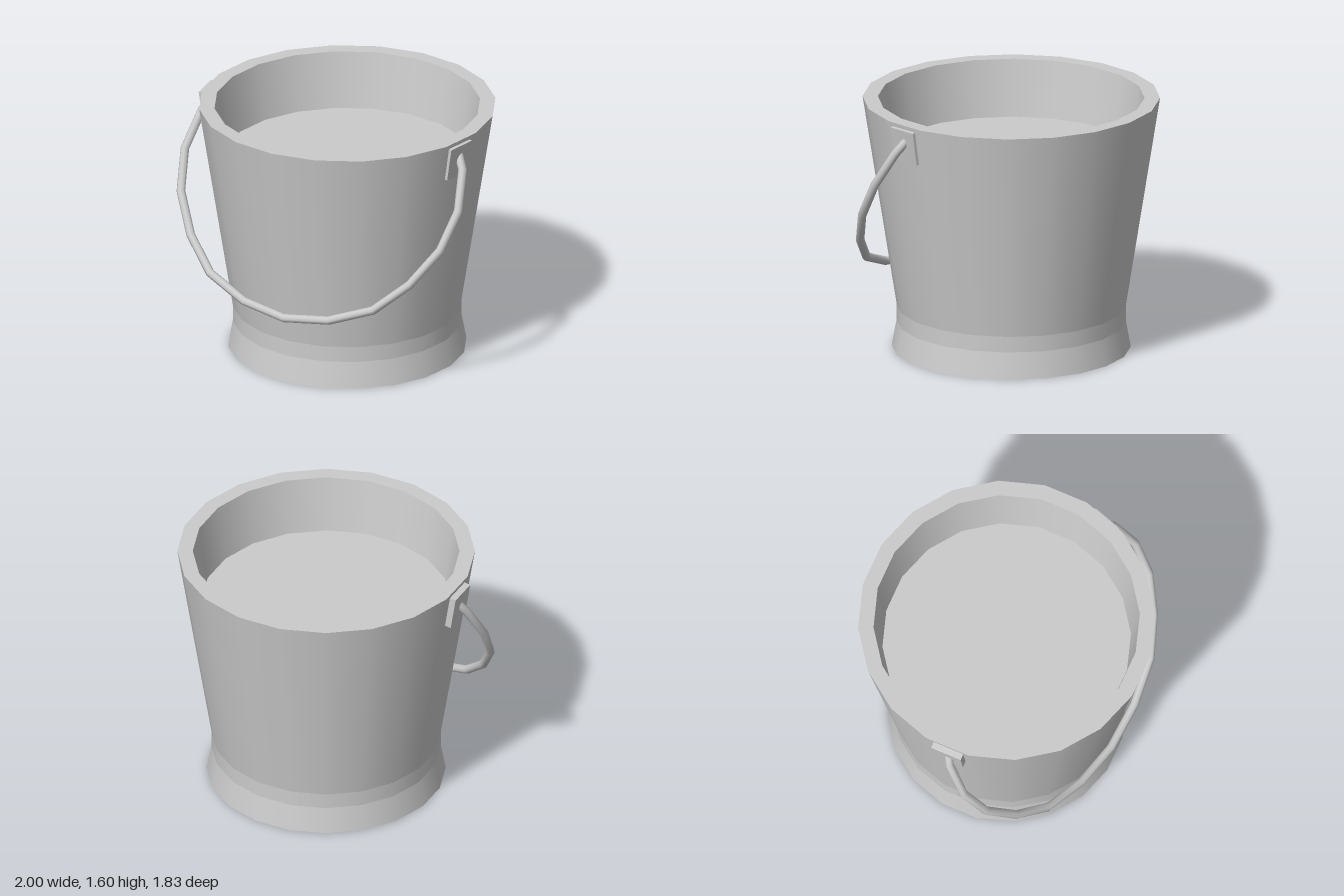
import * as THREE from 'three';

const SIDES = 20;
const material = new THREE.MeshStandardMaterial({ color: 0xcccccc });

function addMesh(parent, name, geometry) {
  const mesh = new THREE.Mesh(geometry, material);
  mesh.name = name;
  parent.add(mesh);
  return mesh;
}

// Closed wall profile [radius, height]; each band is its own lathe so the edges between bands stay sharp
function createBody() {
  const body = new THREE.Group();
  body.name = 'bucketBody';
  const profile = [
    [0, 0.16], [0.63, 0.16], [0.66, 0], [0.735, 0], [0.705, 0.165],
    [0.705, 0.265], [0.915, 1.595], [0.82, 1.595], [0.765, 1.24], [0, 1.24],
  ];
  const names = ['underside', 'footInside', 'footBottom', 'foot', 'waist',
    'wall', 'rim', 'wallInside', 'contents'];
  names.forEach((name, i) => {
    const points = [profile[i], profile[i + 1]].map(([r, y]) => new THREE.Vector2(r, y));
    addMesh(body, name, new THREE.LatheGeometry(points, SIDES));
  });
  return body;
}

// Bent bail lying in a tilted plane, mirrored about x = 0
function createHandle() {
  const half = [[0.3, 0.48], [0.58, 0.585], [0.78, 0.76], [0.925, 0.975],
    [0.975, 1.2], [0.93, 1.42], [0.87, 1.505]];
  const outline = [...half.map(([x, y]) => [-x, y]).reverse(), [0, 0.44], ...half];
  const points = outline.map(([x, y]) => new THREE.Vector3(x, y, 0.765 - (y - 0.435) * 0.592));
  const curve = new THREE.CatmullRomCurve3(points, false, 'catmullrom');
  // Place one ring exactly on each bend
  curve.getPointAt = (u, target) => curve.getPoint(u, target);
  curve.getTangentAt = (u, target) => curve.getTangent(u, target);
  return new THREE.TubeGeometry(curve, points.length - 1, 0.027, 8);
}

export function createModel() {
  const model = new THREE.Group();
  model.name = 'bucket';
  model.add(createBody());
  addMesh(model, 'handle', createHandle());

  // Mounting plates lying flat on the sloping wall facets
  const tilt = THREE.MathUtils.degToRad(9);
  for (const [name, side, x] of [['leftPlate', 1, 0.87], ['rightPlate', -1, 0.892]]) {
    const plate = addMesh(model, name, new THREE.BoxGeometry(0.04, 0.215, 0.198));
    plate.position.set(side * x, 1.463, 0.148);
    plate.rotation.set(0, -side * tilt, -side * tilt, 'YXZ');
  }
  return model;
}
